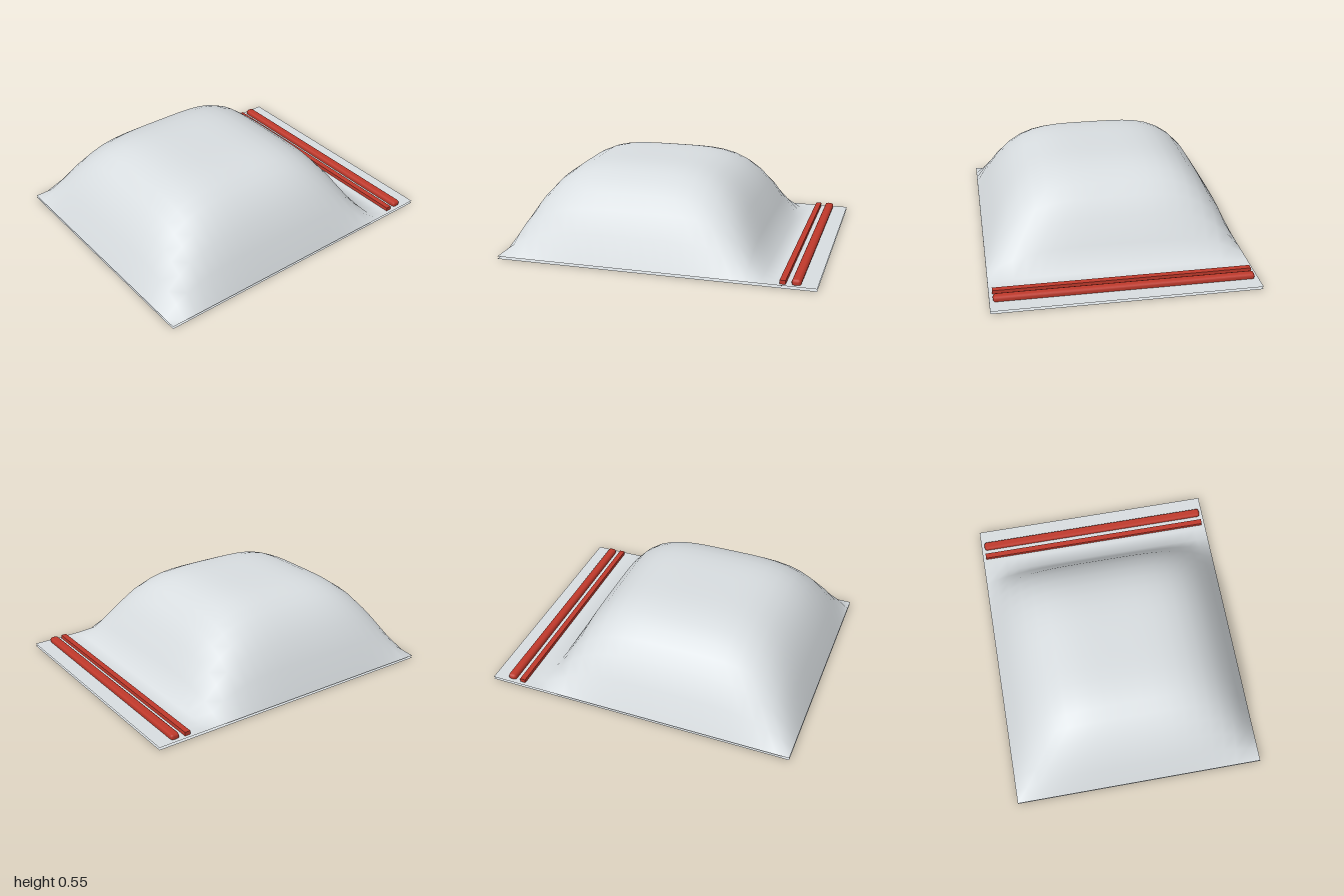
import * as THREE from 'three';
import { RoundedBoxGeometry } from 'three/addons/geometries/RoundedBoxGeometry.js';

export function createModel() {
  const group = new THREE.Group();
  const film = new THREE.MeshStandardMaterial({ color: 0xd8dde0, side: THREE.DoubleSide });
  film.name = 'paleGreyFilm';
  const red = new THREE.MeshStandardMaterial({ color: 0xc0392b });
  red.name = 'redSeal';

  const add = (name, geometry, material, y = 0, z = 0) => {
    const mesh = new THREE.Mesh(geometry, material);
    mesh.name = name;
    mesh.position.set(0, y, z);
    group.add(mesh);
  };

  const width = 1.635, length = 2;
  const back = -0.645; // where the filled pouch gives way to the flat flap
  const mid = (1 + back) / 2, half = (1 - back) / 2;

  // Upper film: a sheet swollen into a soft pillow, flat behind it
  const upper = new THREE.PlaneGeometry(width, length, 20, 24).rotateX(-Math.PI / 2);
  const p = upper.attributes.position;
  for (let i = 0; i < p.count; i++) {
    const u = p.getX(i) / (width / 2);
    const v = (p.getZ(i) - mid) / half;
    p.setY(i, 0.53 * Math.max(0, 1 - u ** 4) * Math.max(0, 1 - v ** 4));
  }
  upper.computeVertexNormals();
  add('upperFilm', upper, film, 0.016);

  // Lower film: flat sheet
  add('lowerFilm', new THREE.PlaneGeometry(width, length).rotateX(-Math.PI / 2), film);

  // Closing strips across the flap
  add('sealStrip', new THREE.BoxGeometry(1.59, 0.034, 0.036), red, 0.023, -0.797);
  add('sealBead', new RoundedBoxGeometry(1.59, 0.044, 0.058, 1, 0.018), red, 0.028, -0.876);

  return group;
}
